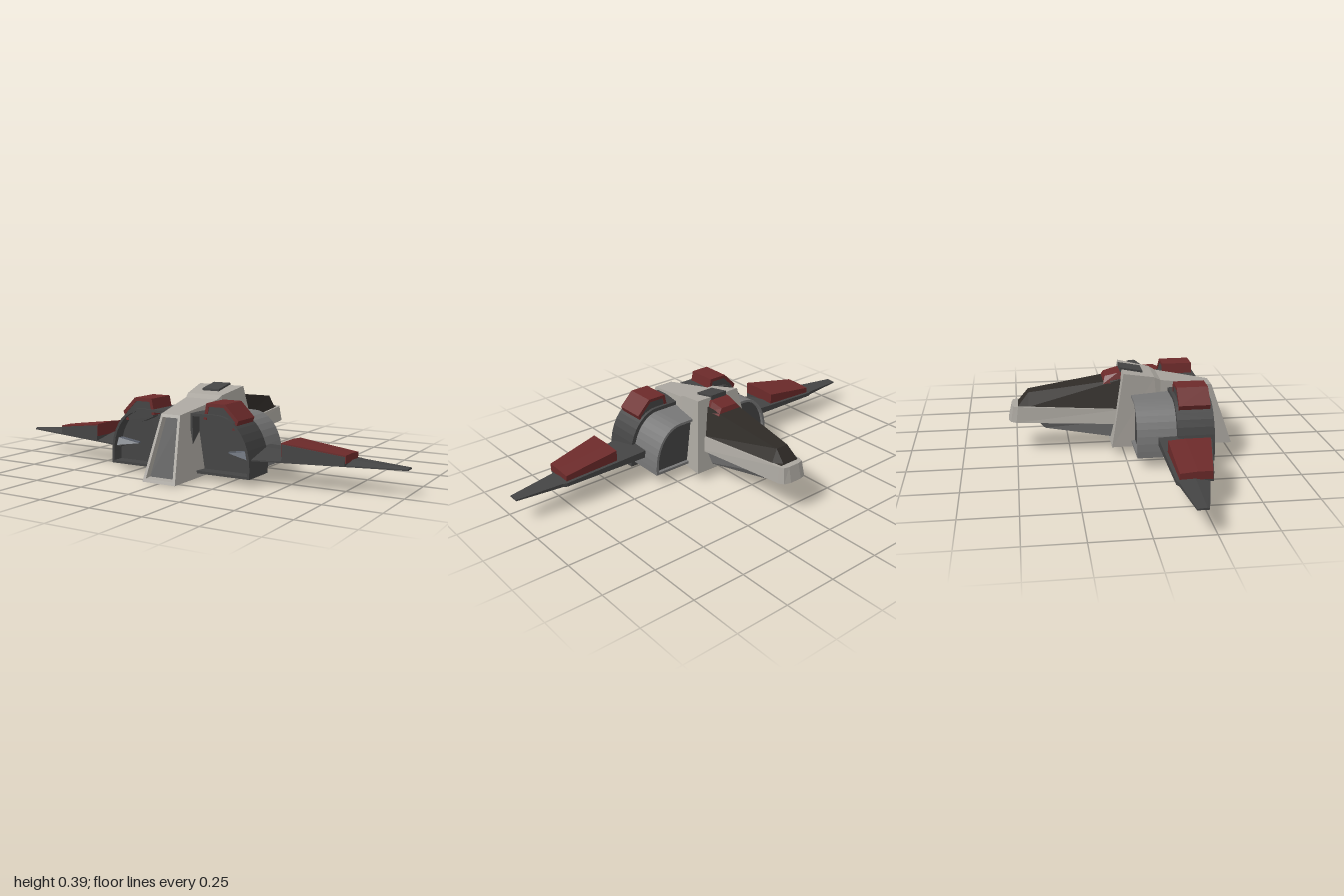
import * as THREE from 'three';

const mat = (color) => new THREE.MeshStandardMaterial({ color, flatShading: true });
const HULL = mat(0xaaa69f), MID = mat(0x777777), DARK = mat(0x444444);
const RED = mat(0x6c2a2a), BLACK = mat(0x2e2a26), SLATE = mat(0x5c626c);

// Skin between equal-length loops of [x, y, z], closed by a fan at both ends.
function loft(loops) {
  const tris = [];
  const n = loops[0].length;
  for (let i = 0; i + 1 < loops.length; i++) {
    for (let j = 0; j < n; j++) {
      const a = loops[i][j], b = loops[i][(j + 1) % n];
      const c = loops[i + 1][(j + 1) % n], d = loops[i + 1][j];
      tris.push([a, b, c], [a, c, d]);
    }
  }
  const last = loops[loops.length - 1];
  for (let j = 1; j + 1 < n; j++) {
    tris.push([loops[0][0], loops[0][j + 1], loops[0][j]]);
    tris.push([last[0], last[j], last[j + 1]]);
  }
  // Turn all faces outward using the signed volume.
  const v = (p) => new THREE.Vector3(...p);
  let volume = 0;
  for (const [a, b, c] of tris) volume += v(a).dot(v(b).cross(v(c)));
  const flat = tris.flatMap(([a, b, c]) => (volume < 0 ? [a, c, b] : [a, b, c])).flat();
  const g = new THREE.BufferGeometry();
  g.setAttribute('position', new THREE.Float32BufferAttribute(flat, 3));
  g.computeVertexNormals();
  return g;
}

// Symmetric trapezoid: half widths, heights and depths of its bottom and top edges.
const trap = (wb, yb, zb, wt, yt, zt) => [[-wb, yb, zb], [wb, yb, zb], [wt, yt, zt], [-wt, yt, zt]];

// Quarter-dome outline of a side pod, from the inner bottom corner outwards and over.
function podOutline(width, bottom, top, inset = 0) {
  const inner = 0.07 + inset, w = width - inset, b = bottom + inset, t = top - inset;
  const pts = [[inner, b], [w, b]];
  const cx = 0.2, cy = 0.08;
  for (let i = 0; i <= 9; i++) {
    const a = (i / 9) * Math.PI / 2;
    pts.push([cx + (w - cx) * Math.cos(a), cy + (t - cy) * Math.sin(a)]);
  }
  pts.push([inner, t]);
  return pts;
}

export function createModel() {
  const root = new THREE.Group();
  const add = (name, geometry, material, parent = root) => {
    const m = new THREE.Mesh(geometry, material);
    m.name = name;
    parent.add(m);
    return m;
  };

  // Central hull with a framed, recessed nose
  add('centralHull', loft([
    trap(0.065, 0.02, 0.495, 0.036, 0.272, 0.408),
    trap(0.07, 0.014, 0.53, 0.039, 0.277, 0.44),
    trap(0.085, 0, 0.535, 0.05, 0.29, 0.435),
    trap(0.128, 0.021, 0.22, 0.085, 0.333, 0.18),
    trap(0.135, 0.025, 0.17, 0.093, 0.35, 0.15),
    trap(0.175, 0.04, -0.06, 0.12, 0.38, 0),
  ]), HULL);
  add('nosePanel', loft([
    trap(0.07, 0.015, 0.503, 0.039, 0.276, 0.413),
    trap(0.07, 0.015, 0.49, 0.039, 0.276, 0.4),
  ]), DARK);

  // Tail: light deck with a blunt tip, black canopy above and keel below
  add('tailDeck', loft([
    trap(0.125, 0.135, 0, 0.11, 0.203, 0),
    trap(0.073, 0.145, -0.5, 0.064, 0.22, -0.49),
    trap(0.062, 0.147, -0.525, 0.055, 0.22, -0.512),
    trap(0.03, 0.148, -0.535, 0.028, 0.22, -0.518),
  ]), HULL);
  add('tailCanopy', loft([
    trap(0.105, 0.2, 0, 0.07, 0.34, 0),
    trap(0.058, 0.217, -0.44, 0.032, 0.28, -0.44),
    trap(0.052, 0.219, -0.49, 0.034, 0.225, -0.486),
  ]), BLACK);
  add('tailKeel', loft([
    trap(0.085, 0.055, -0.02, 0.11, 0.15, -0.02),
    trap(0.035, 0.1, -0.365, 0.06, 0.15, -0.405),
  ]), MID);

  // Dorsal details
  add('dorsalHatch', loft([
    trap(0.045, 0.35, 0.1, 0.045, 0.37, 0.1),
    trap(0.045, 0.36, -0.007, 0.045, 0.39, -0.007),
  ]), DARK);
  add('dorsalRedPlate', loft([
    trap(0.07, 0.32, 0.01, 0.05, 0.37, 0.01),
    trap(0.07, 0.32, -0.02, 0.052, 0.366, -0.02),
    trap(0.07, 0.32, -0.09, 0.045, 0.351, -0.08),
  ]), RED);

  for (const s of [1, -1]) {
    const side = new THREE.Group();
    side.name = s > 0 ? 'leftSide' : 'rightSide';
    root.add(side);
    const mirror = (loops) => loops.map((l) => l.map(([x, y, z]) => [s * x, y, z]));
    const at = (outline, z) => outline.map(([x, y]) => [x, y, z]);
    const part = (name, loops, material) => add(name, loft(mirror(loops)), material, side);

    // Front pod with a recessed face
    const pod = podOutline(0.365, 0.03, 0.295), podIn = podOutline(0.365, 0.03, 0.295, 0.012);
    part('frontPod', [at(podIn, 0.33), at(podIn, 0.385), at(pod, 0.385), at(pod, 0.215)], DARK);
    part('intakeVane', [
      [[0.24, 0.126, 0.345], [0.24, 0.132, 0.345], [0.24, 0.132, 0.32], [0.24, 0.126, 0.32]],
      [[0.345, 0.112, 0.375], [0.345, 0.147, 0.36], [0.345, 0.147, 0.32], [0.345, 0.112, 0.32]],
    ], SLATE);

    // Rear pod with a recessed back
    const rear = podOutline(0.345, 0.05, 0.278), rearIn = podOutline(0.345, 0.05, 0.278, 0.012);
    part('rearPod', [at(rear, 0.22), at(rear, 0.035), at(rearIn, 0.035), at(rearIn, 0.055)], MID);
    part('rearPodPanel', [at(rearIn, 0.052), at(rearIn, 0.07)], DARK);

    // Shoulder block under a bent red armour plate
    const extrude = (pts, depth) =>
      new THREE.ExtrudeGeometry(new THREE.Shape(pts.map(([x, y]) => new THREE.Vector2(s * x, y))),
        { depth, bevelEnabled: false });
    add('shoulderBlock', extrude(
      [[0.14, 0.26], [0.155, 0.33], [0.23, 0.33], [0.29, 0.27], [0.275, 0.235], [0.2, 0.235]], 0.14),
    DARK, side).position.z = 0.23;
    add('shoulderArmour', extrude(
      [[0.13, 0.27], [0.145, 0.343], [0.238, 0.343], [0.304, 0.276], [0.288, 0.235],
        [0.274, 0.235], [0.288, 0.27], [0.23, 0.328], [0.157, 0.328], [0.145, 0.27]], 0.145),
    RED, side).position.z = 0.228;

    // Wing: flat underside, crest line and thin leading edge
    const wingSection = (x, back, crest, lead, top) => [
      [x, 0.108, back], [x, 0.108, lead], [x, 0.114, lead], [x, top, crest], [x, top - 0.003, back]];
    part('wing', [
      wingSection(0.32, 0.13, 0.215, 0.375, 0.147),
      wingSection(0.4, 0.13, 0.215, 0.355, 0.143),
      wingSection(0.765, 0.13, 0.21, 0.27, 0.128),
      wingSection(0.785, 0.14, 0.21, 0.265, 0.127),
      wingSection(1, 0.165, 0.205, 0.215, 0.117),
    ], DARK);

    // Wing armour: red sloping top over a dark core
    const armour = (x, front, low, high, d) => [
      [x, low, 0.148], [x, low, front], [x, high, front - d], [x, high, 0.22], [x, high - 0.006, 0.148]];
    part('wingArmourCore', [
      armour(0.492, 0.338, 0.115, 0.188, 0),
      armour(0.756, 0.287, 0.112, 0.152, 0),
    ], DARK);
    const plate = (x, front, low, high) => [
      [x, low, 0.145], [x, low, front - 0.004], [x, high, front - 0.004], [x, high, 0.22], [x, high - 0.006, 0.145]];
    part('wingArmourPlate', [plate(0.489, 0.338, 0.135, 0.194), plate(0.759, 0.287, 0.123, 0.158)], RED);
  }
  return root;
}
